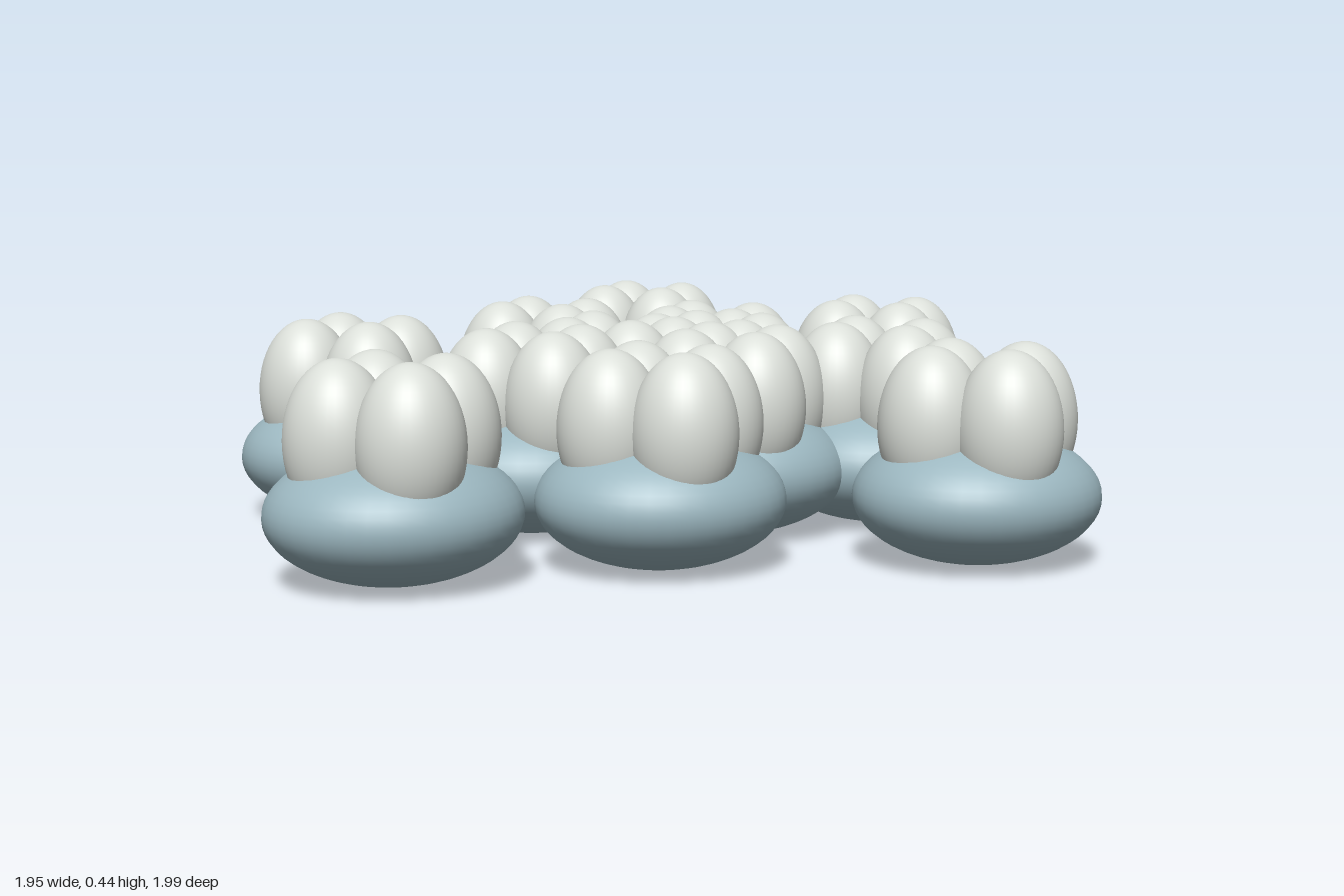
import * as THREE from 'three';

const husk = new THREE.MeshStandardMaterial({ name: 'blueGreyHusk', color: 0x9cb7c0 });
const fluff = new THREE.MeshStandardMaterial({ name: 'paleFluff', color: 0xdbdfd9 });

// boll centres as [x, z]
const centres = [
  [0.333, -0.765], [-0.056, -0.445], [-0.587, -0.224], [0.688, -0.172],
  [0.265, -0.194], [-0.048, -0.04], [-0.288, 0.113], [0.175, 0.038],
  [0.095, 0.283], [0.45, 0.283], [-0.72, 0.51], [-0.19, 0.564], [0.41, 0.763],
];

const ball = new THREE.SphereGeometry(1, 40, 28);

// stem leaves the back of the husk and bends toward +x
const stemPath = new THREE.CatmullRomCurve3([
  new THREE.Vector3(0.07, 0.09, -0.13),
  new THREE.Vector3(0.125, 0.092, -0.182),
  new THREE.Vector3(0.18, 0.087, -0.196),
  new THREE.Vector3(0.286, 0.074, -0.196),
]);
const stemGeometry = new THREE.TubeGeometry(stemPath, 20, 0.024, 12);
const capGeometry = new THREE.CircleGeometry(0.024, 12);

function ellipsoid(name, material, position, scale) {
  const mesh = new THREE.Mesh(ball, material);
  mesh.name = name;
  mesh.position.set(...position);
  mesh.scale.set(...scale);
  return mesh;
}

function createBoll(x, z) {
  const boll = new THREE.Group();
  boll.name = 'boll';
  boll.position.set(x, 0, z);

  boll.add(ellipsoid('huskBase', husk, [0, 0.14, 0], [0.252, 0.135, 0.233]));

  // four upright lobes in a cross
  for (let i = 0; i < 4; i++) {
    const a = (i * Math.PI) / 2;
    boll.add(ellipsoid('lobe', fluff,
      [0.107 * Math.cos(a), 0.285, 0.115 * Math.sin(a)], [0.105, 0.158, 0.107]));
  }

  const stem = new THREE.Mesh(stemGeometry, husk);
  stem.name = 'stem';
  const cap = new THREE.Mesh(capGeometry, husk);
  cap.name = 'stemEnd';
  const end = stemPath.getPoint(1);
  cap.position.copy(end);
  cap.lookAt(end.clone().add(stemPath.getTangent(1)));
  boll.add(stem, cap);
  return boll;
}

export function createModel() {
  const model = new THREE.Group();
  model.name = 'bollCluster';
  for (const [x, z] of centres) model.add(createBoll(x, z));
  model.position.y = -0.005;
  const root = new THREE.Group();
  root.name = 'model';
  root.add(model);
  return root;
}
